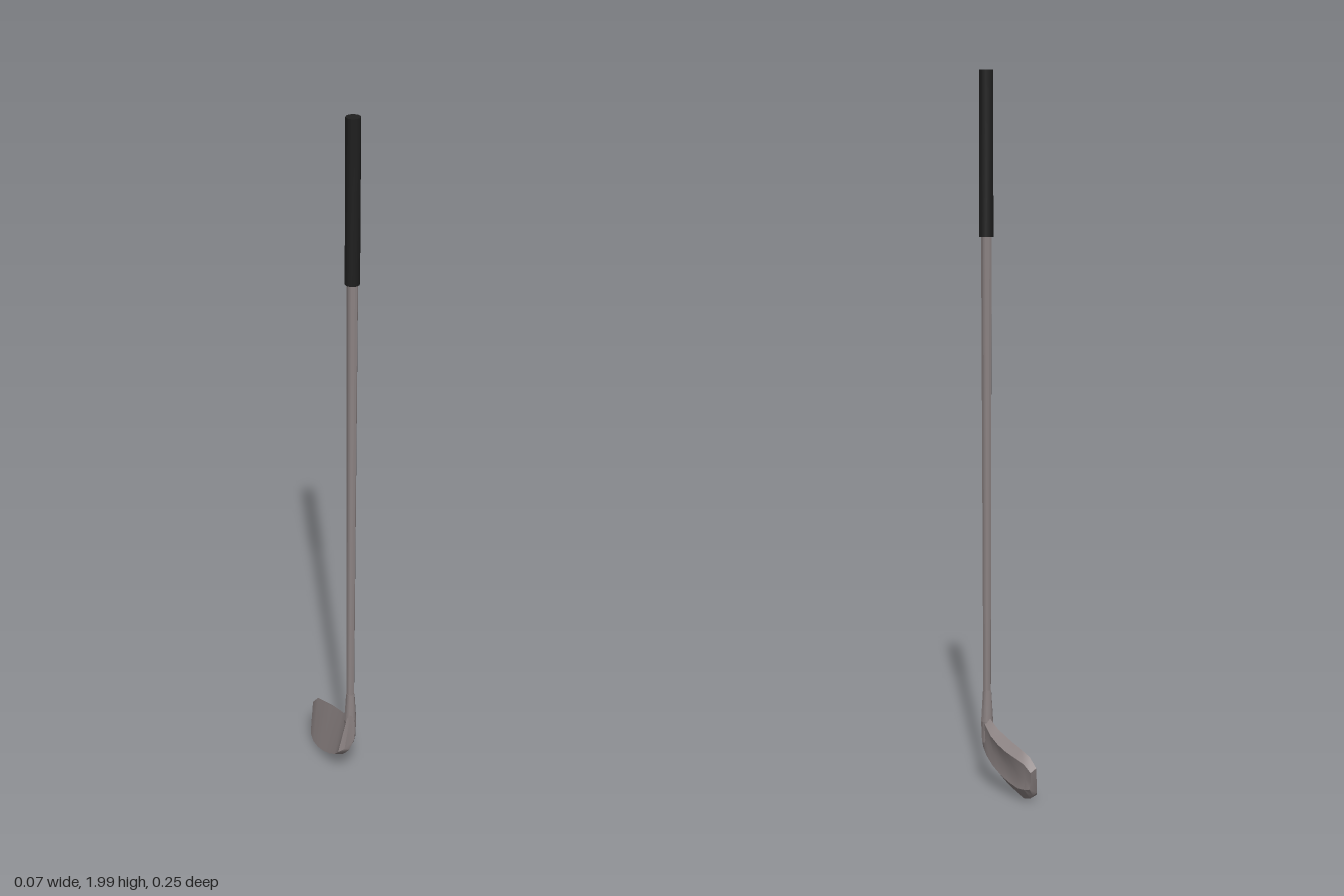
import * as THREE from 'three';
import { toCreasedNormals } from 'three/addons/utils/BufferGeometryUtils.js';

const SHAFT_X = 0.007, SHAFT_Z = 0.105;

// Lofted head: each section runs from the face's leading edge over the top line, down the back and sole
function headGeometry() {
  // zBottom, zTop, yBottom, yTop, x of: leading edge, ridge, top back, mid back, sole back
  const sections = [
    [0.124, 0.122, 0.100, 0.215, -0.020, 0.000, 0.013, 0.012, 0.010],
    [0.113, 0.113, 0.085, 0.215, -0.035, -0.004, 0.020, 0.018, 0.016],
    [0.088, 0.088, 0.062, 0.200, -0.035, 0.008, 0.023, 0.019, 0.020],
    [0.055, 0.055, 0.042, 0.180, -0.035, 0.006, 0.028, 0.019, 0.022],
    [0.013, 0.013, 0.024, 0.166, -0.035, 0.006, 0.032, 0.018, 0.023],
    [-0.025, -0.025, 0.014, 0.156, -0.035, 0.006, 0.033, 0.018, 0.023],
    [-0.066, -0.066, 0.006, 0.147, -0.030, 0.006, 0.030, 0.018, 0.021],
    [-0.096, -0.104, 0.014, 0.135, -0.024, 0.004, 0.024, 0.016, 0.018],
    [-0.108, -0.127, 0.026, 0.108, -0.017, -0.002, 0.015, 0.010, 0.010],
  ];
  const n = 6, pos = [], index = [];
  for (const [zB, zT, yB, yT, a, b, c, d, e] of sections) {
    const h = yT - yB;
    const ring = [[a, 0.06], [b, 1], [c, 0.86], [d, 0.5], [e, 0.24], [(a + e) / 2, 0]];
    for (const [x, t] of ring) pos.push(x, yB + h * t, zB + (zT - zB) * t);
  }
  for (let s = 0; s < sections.length - 1; s++) {
    for (let i = 0; i < n; i++) {
      const p = s * n + i, q = s * n + (i + 1) % n;
      index.push(p, q, q + n, p, q + n, p + n);
    }
  }
  // close the heel and the toe
  const last = (sections.length - 1) * n;
  for (let i = 1; i < n - 1; i++) {
    index.push(0, i + 1, i);
    index.push(last, last + i, last + i + 1);
  }
  const g = new THREE.BufferGeometry();
  g.setAttribute('position', new THREE.Float32BufferAttribute(pos, 3));
  g.setIndex(index);
  return toCreasedNormals(g, 0.6);
}

export function createModel() {
  const steel = new THREE.MeshStandardMaterial({ color: 0x8c8383 });
  steel.name = 'steel';
  const rubber = new THREE.MeshStandardMaterial({ color: 0x1f1f1f });
  rubber.name = 'black rubber';

  const club = new THREE.Group();
  club.name = 'golfClub';
  const add = (name, geometry, material) => {
    const mesh = new THREE.Mesh(geometry, material);
    mesh.name = name;
    club.add(mesh);
    return mesh;
  };
  // Upright round part between two heights
  const rod = (name, rTop, rBottom, y0, y1, material) => {
    const g = toCreasedNormals(new THREE.CylinderGeometry(rTop, rBottom, y1 - y0, 10), 0.8);
    add(name, g, material).position.set(SHAFT_X, (y0 + y1) / 2, SHAFT_Z);
  };

  rod('grip', 0.02, 0.02, 1.55, 2, rubber);
  rod('shaft', 0.015, 0.011, 0.26, 1.56, steel);
  rod('hosel', 0.012, 0.0175, 0.19, 0.28, steel);
  rod('hoselBase', 0.0175, 0.015, 0.13, 0.19, steel);
  add('head', headGeometry(), steel);
  return club;
}
